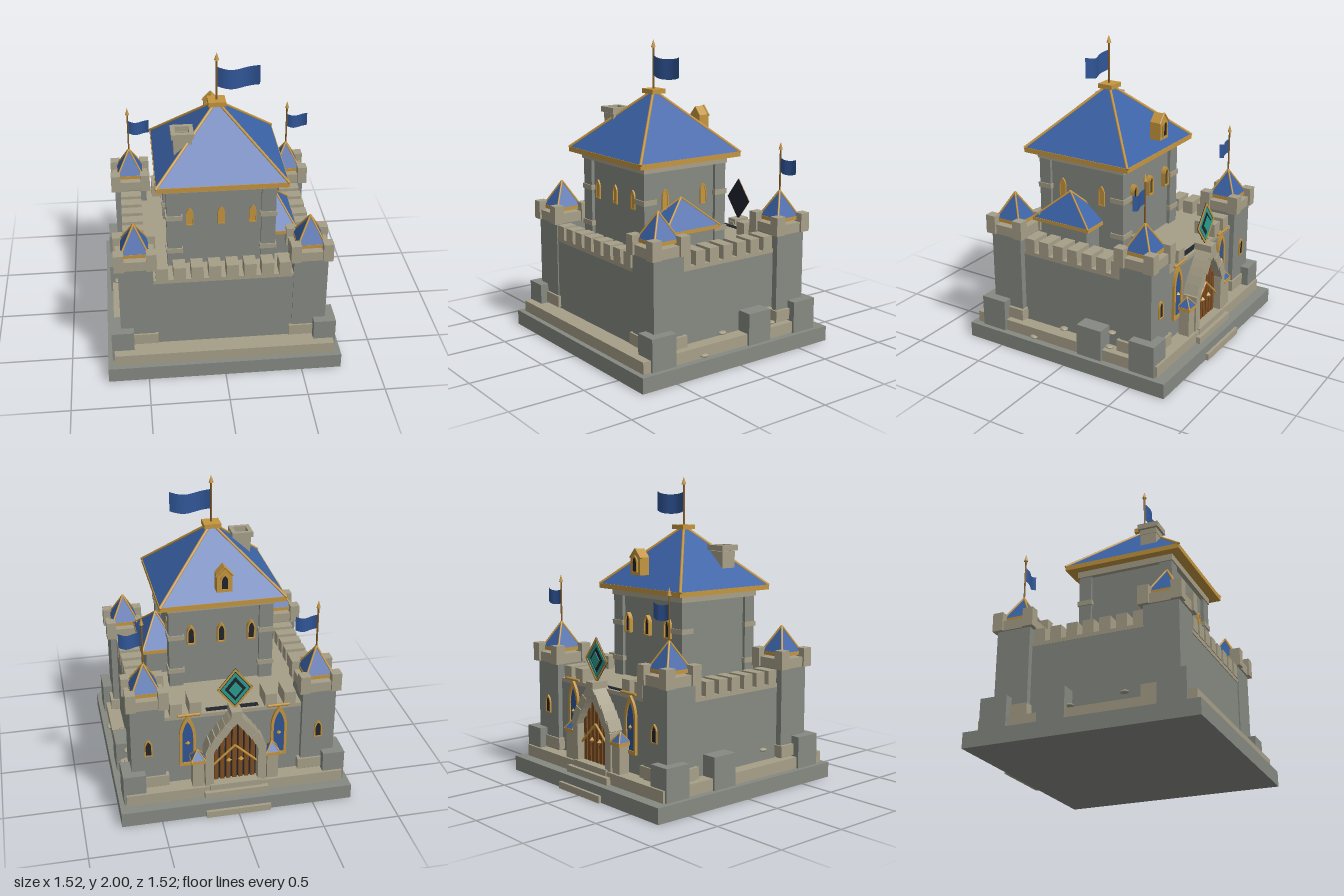
import * as THREE from 'three';

const mat = (name, color, side = THREE.FrontSide) => {
  const m = new THREE.MeshStandardMaterial({ color, side });
  m.name = name;
  return m;
};

export function createModel() {
  const root = new THREE.Group();
  root.name = 'castle';
  const gray = mat('grayStone', 0x868982), tan = mat('sandStone', 0xa69f88);
  const blue = mat('blueRoof', 0x3a62a6), gold = mat('goldTrim', 0xc4953f);
  const bronze = mat('bronze', 0x85602a), dark = mat('darkOpening', 0x20242c, THREE.DoubleSide);
  const teal = mat('tealGem', 0x2a9c8e, THREE.DoubleSide), wood = mat('wood', 0x7c4c22);
  const cloth = mat('blueCloth', 0x2f5596, THREE.DoubleSide);

  const add = (name, geo, m, x = 0, y = 0, z = 0, parent = root) => {
    const mesh = new THREE.Mesh(geo, m);
    mesh.name = name;
    mesh.position.set(x, y, z);
    parent.add(mesh);
    return mesh;
  };
  // box from its extents
  const box = (name, m, x0, x1, y0, y1, z0, z1) =>
    add(name, new THREE.BoxGeometry(Math.abs(x1 - x0), y1 - y0, Math.abs(z1 - z0)), m,
      (x0 + x1) / 2, (y0 + y1) / 2, (z0 + z1) / 2);
  // round bar between two points
  const rod = (name, m, a, b, r) => {
    const A = new THREE.Vector3(...a), B = new THREE.Vector3(...b), d = B.clone().sub(A);
    const mesh = add(name, new THREE.CylinderGeometry(r, r, d.length(), 6), m);
    mesh.position.copy(A).addScaledVector(d, 0.5);
    mesh.quaternion.setFromUnitVectors(new THREE.Vector3(0, 1, 0), d.normalize());
    return mesh;
  };
  // pyramid roof with eaves and hip bars
  const roof = (name, x, z, hw, hd, y0, y1, eave, r) => {
    const cone = new THREE.ConeGeometry(Math.SQRT2, 1, 4).rotateY(Math.PI / 4).toNonIndexed();
    cone.scale(hw, y1 - y0, hd);
    cone.computeVertexNormals();
    add(name, cone, blue, x, (y0 + y1) / 2, z);
    box(name + 'Eave', gold, x - hw, x + hw, y0 - eave, y0 + 0.004, z - hd, z + hd);
    for (const sx of [-1, 1]) for (const sz of [-1, 1])
      rod(name + 'Hip', gold, [x + sx * hw, y0, z + sz * hd], [x, y1, z], r);
  };
  // pointed arch outline standing on y = 0
  const lancet = (w, h, Type = THREE.Shape) => {
    const s = new Type(), k = h * 0.65;
    s.moveTo(-w, 0); s.lineTo(w, 0); s.lineTo(w, k);
    s.quadraticCurveTo(w * 0.9, h * 0.85, 0, h);
    s.quadraticCurveTo(-w * 0.9, h * 0.85, -w, k);
    s.closePath();
    return s;
  };
  const plate = (s, depth) => new THREE.ExtrudeGeometry(s, { depth, bevelEnabled: false, curveSegments: 5 });
  const windowAt = (name, x, y, z, w, h, turn, pane, depth = 0.012) => {
    const g = new THREE.Group();
    g.name = name;
    g.position.set(x, y, z);
    g.rotation.y = turn;
    root.add(g);
    const s = lancet(w, h), hole = lancet(w * 0.68, h * 0.84, THREE.Path);
    s.holes.push(new THREE.Path(hole.getPoints(5).map(p => p.add(new THREE.Vector2(0, h * 0.06)))));
    add('frame', plate(s, depth), gold, 0, 0, 0, g);
    add('pane', plate(lancet(w * 0.8, h * 0.92), depth * 0.6), pane, 0, h * 0.03, 0, g);
    return g;
  };
  const flag = (name, x, y, z, len, h) => {
    const geo = new THREE.PlaneGeometry(len, h, 14, 3), p = geo.attributes.position;
    for (let i = 0; i < p.count; i++) {
      const t = p.getX(i) / len + 0.5;
      p.setXYZ(i, t * len, p.getY(i) - Math.sin(t * Math.PI) * h * 0.17, Math.sin(t * Math.PI * 2) * len * 0.07);
    }
    geo.computeVertexNormals();
    add(name, geo, cloth, x, y, z);
  };
  const pole = (x, z, y0, y1, r) => {
    rod('flagPole', bronze, [x, y0, z], [x, y1 - 0.04, z], r);
    add('poleTip', new THREE.ConeGeometry(r * 2.3, 0.05, 8), gold, x, y1 - 0.025, z);
  };

  // ground slab, plinth and curtain walls
  box('baseSlab', gray, -0.76, 0.76, 0, 0.1, -0.745, 0.755);
  box('plinth', tan, -0.715, 0.715, 0.1, 0.175, -0.67, 0.72);
  box('curtainWalls', gray, -0.626, 0.626, 0.1, 0.645, -0.565, 0.6);
  box('wallWalk', tan, -0.628, 0.628, 0.645, 0.67, -0.567, 0.605);
  for (let i = 0; i < 8; i++) {
    const x = -0.392 + i * 0.112;
    box('frontMerlon', tan, x - 0.039, x + 0.039, 0.67, 0.76, 0.51, 0.61);
  }
  for (const s of [-1, 1]) {
    for (let i = 0; i < 7; i++) {
      const z = -0.324 + i * 0.11;
      box('sideMerlon', tan, s * 0.488, s * 0.628, 0.67, 0.76, z - 0.037, z + 0.037);
    }
    for (const x of [0.245, 0.37]) box('backMerlon', tan, s * (x - 0.038), s * (x + 0.038), 0.67, 0.76, -0.57, -0.42);
    box('sideButtress', gray, s * 0.6, s * 0.73, 0.1, 0.31, -0.27, -0.09);
  }

  // corner towers
  for (const sx of [-1, 1]) for (const z of [-0.485, 0.495]) {
    const x = sx * 0.557, sz = Math.sign(z);
    box('towerShaft', gray, x - 0.11, x + 0.11, 0.1, 0.77, z - 0.113, z + 0.113);
    box('towerFoot', tan, x - 0.13, x + 0.13, 0.185, 0.26, z - 0.125, z + 0.125);
    box('cornerButtress', gray, sx * 0.585, sx * 0.73, 0.1, 0.31, z - sz * 0.01, z + sz * 0.17);
    box('towerHead', tan, x - 0.122, x + 0.122, 0.765, 0.83, z - 0.125, z + 0.125);
    for (const a of [-1, 1]) for (const b of [-1, 1])
      box('towerMerlon', tan, x + a * 0.07, x + a * 0.135, 0.765, 0.888, z + b * 0.07, z + b * 0.14);
    roof('towerRoof', x, z, 0.09, 0.093, 0.86, 1.03, 0.02, 0.007);
    if (sz < 0) {
      pole(x, z, 1.0, 1.35, 0.006);
      flag('towerFlag', x, 1.205, z, 0.145, 0.095);
      windowAt('towerWindow', x, 0.42, z - 0.112, 0.026, 0.12, Math.PI, dark);
    }
  }

  // keep
  box('keepWalls', gray, -0.325, 0.325, 0.66, 1.22, -0.175, 0.425);
  box('keepCornice', tan, -0.355, 0.355, 1.215, 1.26, -0.205, 0.455);
  for (const x of [-0.3, 0.3]) for (const z of [-0.155, 0.405]) {
    box('keepPilaster', gray, x - 0.046, x + 0.046, 0.66, 1.22, z - 0.042, z + 0.042);
    for (const y of [0.77, 1.012])
      box('pilasterBand', tan, x - 0.054, x + 0.054, y, y + 0.032, z - 0.05, z + 0.05);
  }
  roof('keepRoof', 0, 0.125, 0.412, 0.395, 1.285, 1.675, 0.028, 0.01);
  box('roofCap', gold, -0.056, 0.056, 1.655, 1.685, 0.07, 0.175);
  pole(0, 0.125, 1.68, 2, 0.007);
  flag('keepFlag', 0, 1.84, 0.125, 0.272, 0.13);
  for (const x of [-0.2, 0, 0.2]) {
    windowAt('frontWindow', x, 0.963, 0.424, 0.023, 0.125, 0, gold);
    windowAt('backWindow', x, 0.97, -0.174, 0.027, 0.135, Math.PI, dark, 0.03);
  }
  for (const z of [-0.025, 0.275]) windowAt('sideWindow', 0.324, 0.965, z, 0.024, 0.135, Math.PI / 2, gold);

  // side wing
  box('sideWing', gray, 0.28, 0.47, 0.66, 0.84, 0.0, 0.37);
  roof('sideWingRoof', 0.375, 0.185, 0.125, 0.218, 0.855, 1.04, 0.02, 0.007);

  // chimney
  box('chimneyShaft', tan, -0.285, -0.175, 1.38, 1.5, 0.21, 0.32);
  const square = (h, Type) => new Type([[-h, -h], [h, -h], [h, h], [-h, h]].map(p => new THREE.Vector2(...p)));
  [[1.48, 0.058], [1.52, 0.071]].forEach(([y, h]) => {
    const ring = square(h, THREE.Shape);
    ring.holes.push(square(0.043, THREE.Path));
    add('chimneyRim', plate(ring, 0.036).rotateX(-Math.PI / 2), tan, -0.23, y, 0.265);
  });
  box('chimneyFlue', gray, -0.274, -0.186, 1.49, 1.515, 0.221, 0.309);

  // roof dormer
  const house = new THREE.Shape([[-0.05, 0], [0.05, 0], [0.05, 0.115], [0, 0.17], [-0.05, 0.115]].map(p => new THREE.Vector2(...p)));
  add('dormer', plate(house, 0.075), gold, 0, 1.372, -0.292);
  for (const s of [-1, 1]) rod('dormerEave', gold, [s * 0.055, 1.482, -0.29], [0, 1.543, -0.29], 0.007);
  windowAt('dormerWindow', 0, 1.39, -0.291, 0.028, 0.11, Math.PI, dark);

  // gate: steps, door, bars and pointed arch
  box('groundStep', tan, -0.213, 0.213, 0, 0.045, -0.765, -0.74);
  box('lowerStep', tan, -0.21, 0.21, 0.1, 0.145, -0.7, -0.56);
  box('upperStep', tan, -0.17, 0.17, 0.145, 0.185, -0.675, -0.56);
  box('gateHood', dark, -0.17, 0.17, 0.645, 0.675, -0.545, -0.51);
  const gateTop = x => 0.62 - 0.2 * Math.pow(Math.abs(x) / 0.15, 1.3);
  const gate = new THREE.Shape();
  gate.moveTo(-0.155, 0); gate.lineTo(0.155, 0); gate.lineTo(0.155, 0.23);
  gate.lineTo(0, 0.46); gate.lineTo(-0.155, 0.23); gate.closePath();
  add('gateOpening', plate(gate, 0.04), dark, 0, 0.18, -0.6);
  for (let i = -3; i <= 3; i++) {
    const x = i * 0.04;
    box('gatePlank', wood, x - 0.014, x + 0.014, 0.18, gateTop(x), -0.615, -0.595);
  }
  for (const s of [-1, 1]) {
    rod('gateBar', gold, [s * 0.15, 0.3, -0.622], [0, 0.44, -0.622], 0.008);
    add('gateStud', new THREE.OctahedronGeometry(0.02), gold, s * 0.04, 0.33, -0.622);
    box('gatePier', tan, s * 0.145, s * 0.2, 0.145, 0.42, -0.66, -0.56);
    for (let i = 0; i < 6; i++) {
      const t = (i + 0.5) / 6, x = 0.178 * (1 - t), y = 0.425 + 0.25 * Math.pow(t, 0.85);
      const block = add('archStone', new THREE.BoxGeometry(0.054, 0.075, 0.115 + (i % 2) * 0.01), tan, s * x, y, -0.608);
      block.rotation.z = s * (0.35 + 0.35 * t);
    }
    // gate posts with small roofs
    box('gatePost', tan, s * 0.208, s * 0.282, 0.1, 0.355, -0.652, -0.578);
    roof('gatePostRoof', s * 0.245, -0.615, 0.046, 0.046, 0.37, 0.435, 0.018, 0.005);
    // tall blue panels under gold rails
    windowAt('bluePanel', s * 0.3, 0.3, -0.564, 0.052, 0.37, Math.PI, cloth, 0.02);
    rod('panelRail', gold, [s * 0.22, 0.685, -0.588], [s * 0.365, 0.685, -0.588], 0.009);
    add('panelStud', new THREE.OctahedronGeometry(0.017), gold, s * 0.3, 0.47, -0.58);
  }
  box('keystone', tan, -0.035, 0.035, 0.63, 0.72, -0.67, -0.55);

  // diamond ornament above the gate, in thin layers
  const diamond = (k, Type = THREE.Shape) =>
    new Type([[-0.115, 0], [0, -0.145], [0.115, 0], [0, 0.145]].map(([x, y]) => new THREE.Vector2(x * k, y * k)));
  const layer = (name, k, inner, m, z) => {
    const s = diamond(k);
    if (inner) s.holes.push(diamond(inner, THREE.Path));
    add(name, plate(s, 0.004), m, 0, 0.855, z);
  };
  layer('diamondBack', 1, 0, dark, -0.61);
  layer('diamondGoldRim', 1, 0.86, gold, -0.614);
  layer('diamondTealRing', 0.8, 0.6, teal, -0.614);
  layer('diamondGem', 0.38, 0, teal, -0.622);

  // loose stones along the walls
  [[0.66, 0.285, -0.31], [0.65, 0.2, 0.065], [0.715, 0.115, 0.26], [0.69, 0.2, -0.31],
    [-0.68, 0.2, -0.08], [-0.635, 0.25, 0.25]].forEach(([x, y, z]) =>
    add('looseStone', new THREE.SphereGeometry(1, 8, 5).scale(0.025, 0.011, 0.03), tan, x, y, z));
  return root;
}
